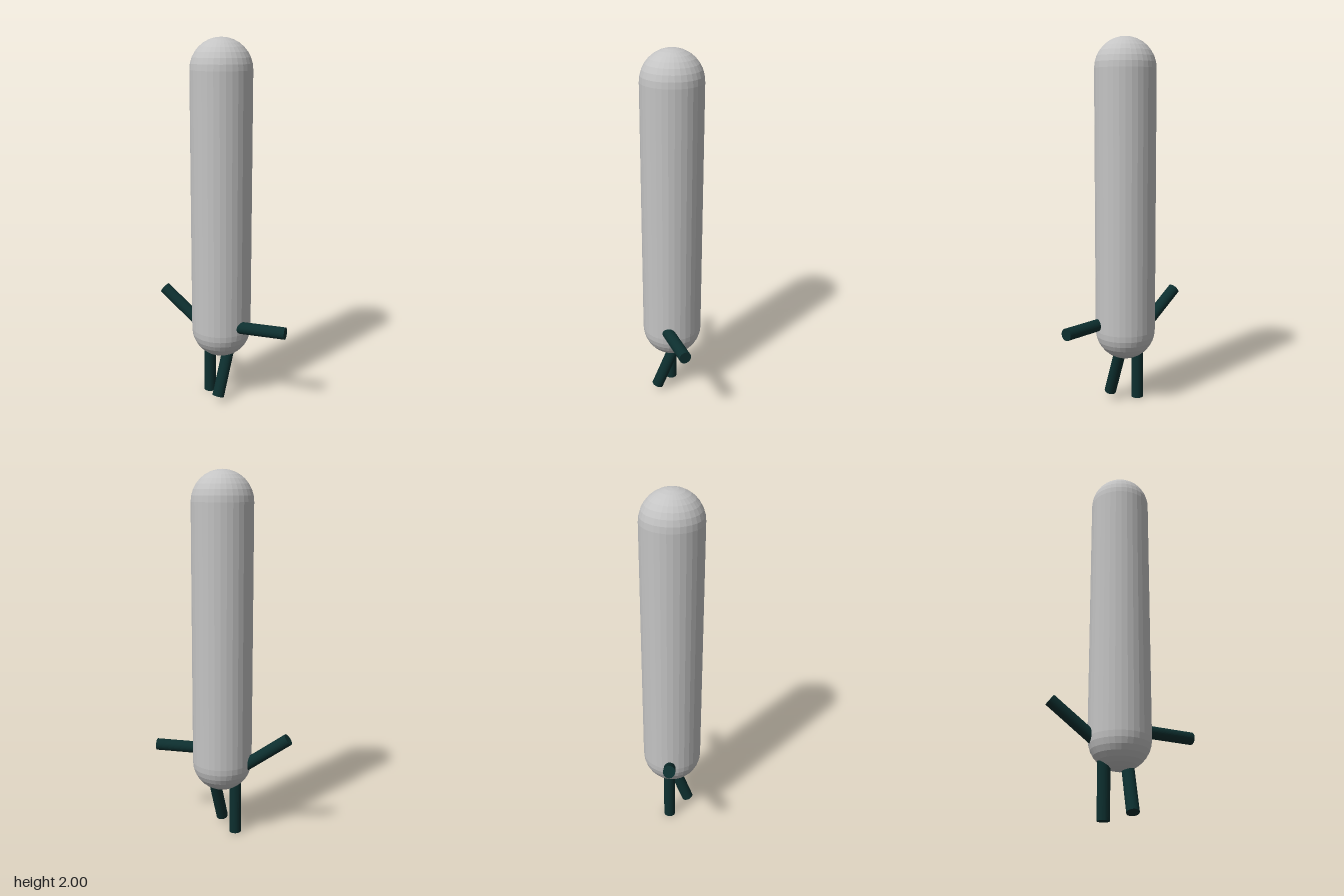
import * as THREE from 'three';

const V = (x, y, z) => new THREE.Vector3(x, y, z);

// Straight round limb between two points
function limb(name, from, to, material) {
  const dir = to.clone().sub(from);
  const mesh = new THREE.Mesh(new THREE.CylinderGeometry(0.033, 0.033, dir.length(), 32), material);
  mesh.position.copy(from).add(to).multiplyScalar(0.5);
  mesh.quaternion.setFromUnitVectors(V(0, 1, 0), dir.normalize());
  mesh.name = name;
  return mesh;
}

export function createModel() {
  const model = new THREE.Group();
  model.name = 'stickLimbedFigure';

  const bodyGrey = new THREE.MeshStandardMaterial({ color: 0xc4c4c4, flatShading: true });
  bodyGrey.name = 'body grey';
  const limbTeal = new THREE.MeshStandardMaterial({ color: 0x0d2f2f, flatShading: true });
  limbTeal.name = 'dark teal';

  // Tall capsule body: half-round bottom, straight wall, half-round top
  const r = 0.165, bottom = 0.25, top = 2, rings = 8;
  const profile = [];
  for (let i = 0; i <= rings; i++) {
    const a = (i / rings) * Math.PI / 2;
    profile.push(new THREE.Vector2(r * Math.sin(a), bottom + r - r * Math.cos(a)));
  }
  for (let i = rings; i >= 0; i--) {
    const a = (i / rings) * Math.PI / 2;
    profile.push(new THREE.Vector2(r * Math.sin(a), top - r + r * Math.cos(a)));
  }
  const body = new THREE.Mesh(new THREE.LatheGeometry(profile, 32), bodyGrey);
  body.name = 'body';
  body.position.set(-0.001, 0, -0.006);
  model.add(body);

  // Arms to the front and back, legs below
  model.add(
    limb('frontArm', V(-0.045, 0.453, 0.1), V(0.037, 0.459, 0.393), limbTeal),
    limb('backArm', V(-0.007, 0.387, -0.12), V(-0.047, 0.58, -0.381), limbTeal),
    limb('frontLeg', V(0.015, 0.3, 0.037), V(-0.09, 0.031, 0.037), limbTeal),
    limb('backLeg', V(0, 0.34, -0.088), V(0, 0, -0.088), limbTeal)
  );
  return model;
}
